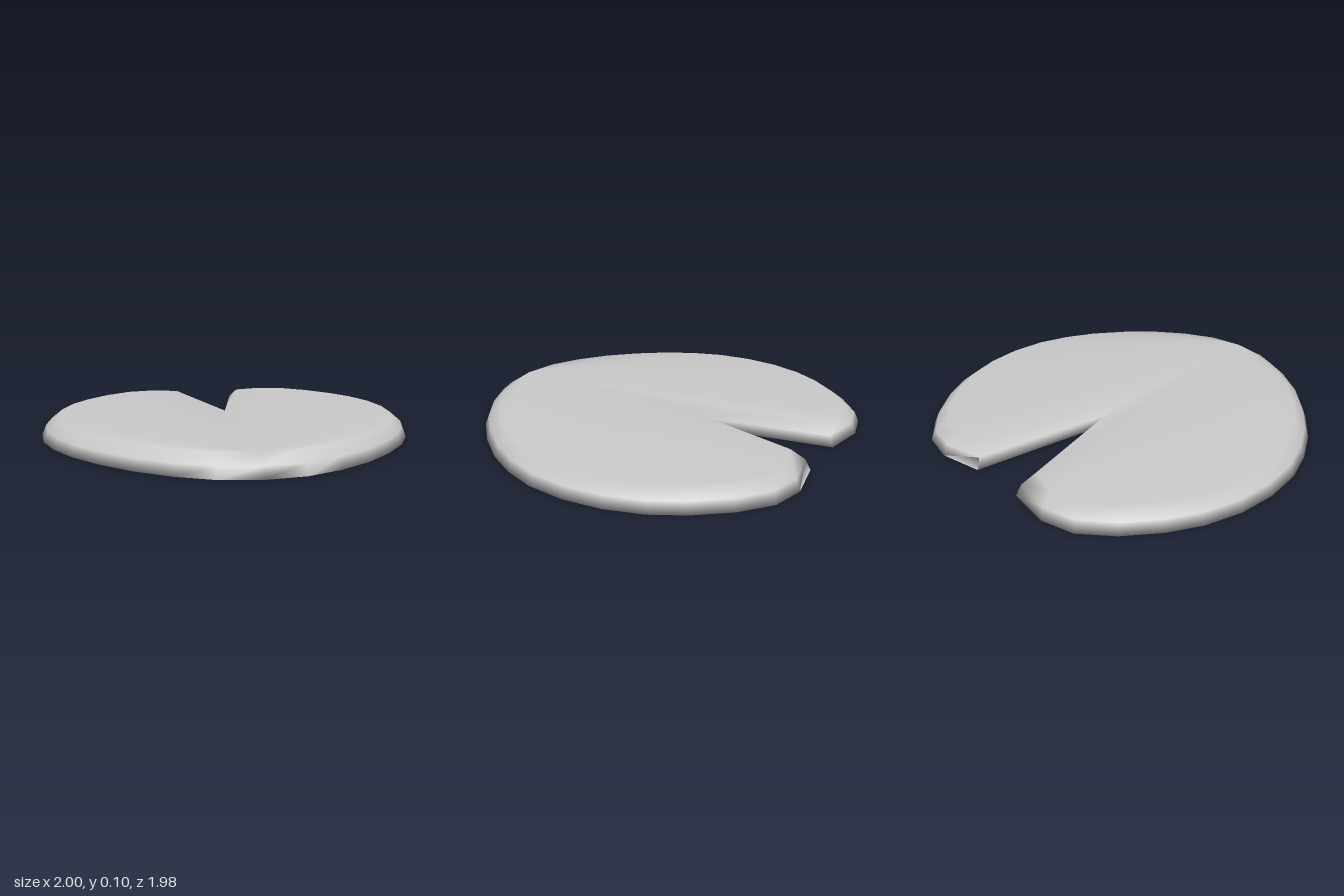
import * as THREE from 'three';

// Right half of the outline [x, z], from the front point round to the notch corner
const HALF = [
  [0, 0.985], [0.2, 0.955], [0.38, 0.87], [0.55, 0.75], [0.7, 0.6], [0.83, 0.43],
  [0.92, 0.26], [0.98, 0.08], [1, -0.12], [0.98, -0.32], [0.92, -0.51], [0.83, -0.67],
  [0.7, -0.83], [0.55, -0.95], [0.38, -0.99], [0.15, -0.95],
];
const NOTCH_TIP = [0, -0.12];

// Mirror a half outline into a closed loop through the notch tip
function closeLoop(half, tip) {
  const mirrored = half.slice(1).reverse().map(([x, z]) => [-x, z]);
  return [...half, tip, ...mirrored];
}

export function createModel() {
  const outer = closeLoop(HALF, NOTCH_TIP);

  // The top edge is drawn in all round, and the notch opens wider there
  const topHalf = HALF.map(([x, z]) => [x * 0.915, z * 0.915]);
  topHalf[topHalf.length - 1] = [0.195, -0.86];
  const inner = closeLoop(topHalf, [0, -0.11]);

  // Three rings form the rounded rim: [inset amount, height]
  const rings = [[0, 0], [0.28, 0.055], [1, 0.105]];
  const n = outer.length;
  const positions = [];
  for (const [t, y] of rings) {
    outer.forEach(([x, z], i) => {
      positions.push(
        THREE.MathUtils.lerp(x, inner[i][0], t), y,
        THREE.MathUtils.lerp(z, inner[i][1], t));
    });
  }

  const index = [];
  // Rim and notch walls
  for (let r = 0; r < rings.length - 1; r++) {
    for (let i = 0; i < n; i++) {
      const j = (i + 1) % n;
      const a = r * n + i, b = r * n + j;
      index.push(a, b, b + n, a, b + n, a + n);
    }
  }
  // Flat top and underside, fanned from the front point
  const top = (rings.length - 1) * n;
  for (let i = 1; i < n - 1; i++) {
    index.push(top, top + i, top + i + 1);
    index.push(0, i + 1, i);
  }

  const geometry = new THREE.BufferGeometry();
  geometry.setAttribute('position', new THREE.Float32BufferAttribute(positions, 3));
  geometry.setIndex(index);
  geometry.computeVertexNormals();

  const pad = new THREE.Mesh(geometry, new THREE.MeshStandardMaterial({ color: 0xcccccc }));
  pad.name = 'lilyPad';

  const group = new THREE.Group();
  group.name = 'floatingLeaf';
  group.add(pad);
  return group;
}
